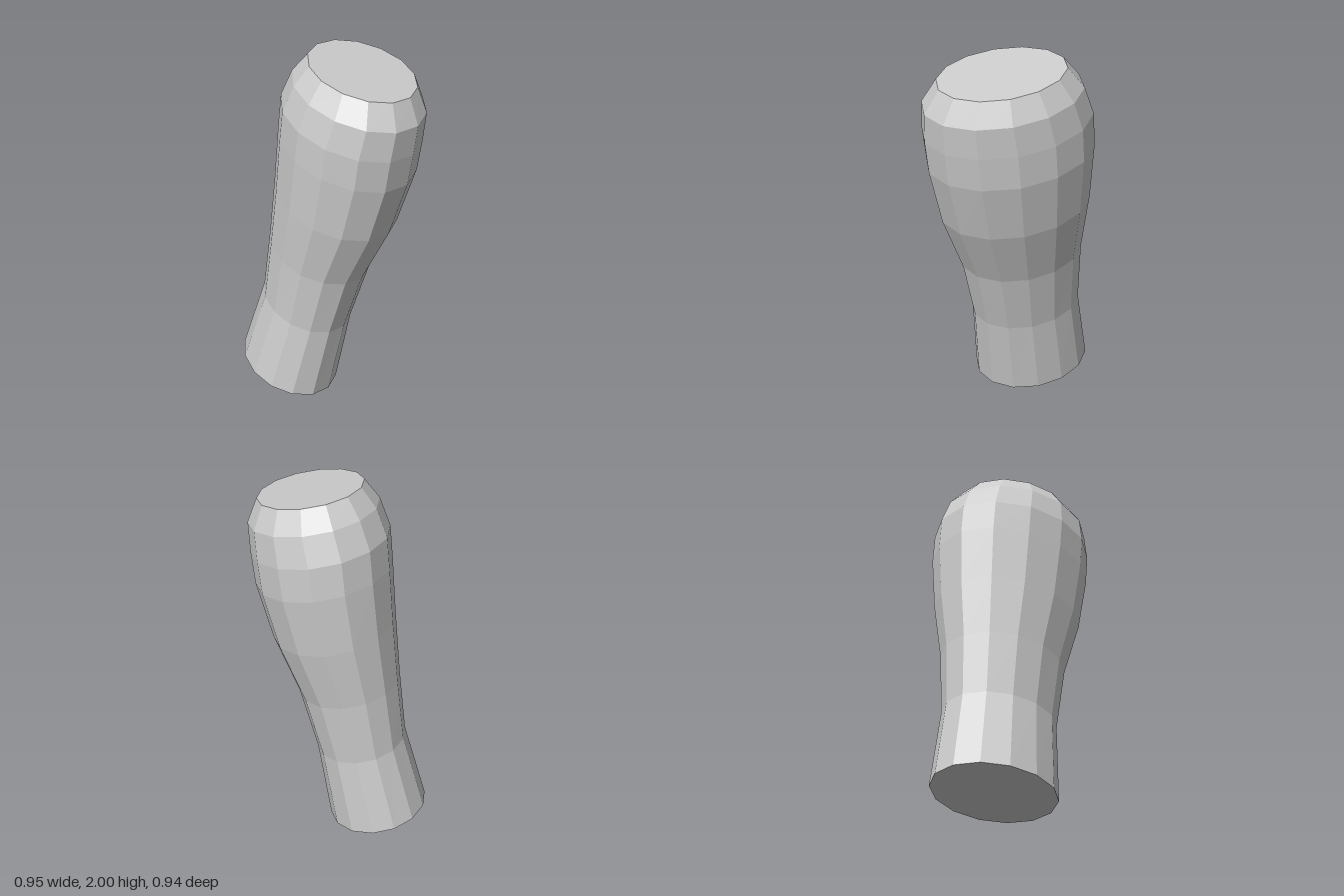
import * as THREE from 'three';

const SIDES = 14;

// Cross-sections from bottom to top: centre x, y, z, then radius in x and z
const RINGS = [
  [-0.21, 0.07, -0.15, 0.27, 0.328],
  [-0.115, 0.5, -0.098, 0.245, 0.305],
  [-0.05, 0.85, -0.06, 0.275, 0.338],
  [0.03, 1.18, -0.012, 0.33, 0.408],
  [0.083, 1.495, 0.02, 0.363, 0.446],
  [0.1, 1.67, 0.037, 0.366, 0.449],
  [0.132, 1.822, 0.065, 0.343, 0.42],
  [0.147, 1.937, 0.072, 0.278, 0.336],
];

// Low-poly tapered limb: leaning oval rings joined by quads, closed with flat caps
function limbGeometry() {
  const points = [];
  const faces = [];
  const last = RINGS.length - 1;
  RINGS.forEach(([cx, cy, cz, rx, rz], j) => {
    // each ring is tipped down towards +x and +z, square to the leaning axis
    const slopeX = THREE.MathUtils.lerp(0.21, 0.165, j / last);
    const slopeZ = 0.128;
    for (let i = 0; i < SIDES; i++) {
      const t = (i / SIDES) * Math.PI * 2;
      const dx = rx * Math.cos(t);
      const dz = rz * Math.sin(t);
      points.push(cx + dx, cy - slopeX * dx - slopeZ * dz, cz + dz);
    }
  });
  // cap centres
  const bottom = points.length / 3;
  const top = bottom + 1;
  points.push(...RINGS[0].slice(0, 3), ...RINGS[last].slice(0, 3));

  for (let i = 0; i < SIDES; i++) {
    const n = (i + 1) % SIDES;
    for (let j = 0; j < last; j++) {
      const a = j * SIDES + i;
      const b = j * SIDES + n;
      faces.push(a, a + SIDES, b, b, a + SIDES, b + SIDES);
    }
    faces.push(bottom, i, n);
    faces.push(top, last * SIDES + n, last * SIDES + i);
  }

  const indexed = new THREE.BufferGeometry();
  indexed.setAttribute('position', new THREE.Float32BufferAttribute(points, 3));
  indexed.setIndex(faces);
  const geometry = indexed.toNonIndexed();
  geometry.computeVertexNormals();
  return geometry;
}

export function createModel() {
  const group = new THREE.Group();
  const material = new THREE.MeshStandardMaterial({ color: 0xcccccc, flatShading: true });
  const limb = new THREE.Mesh(limbGeometry(), material);
  limb.name = 'limbSegment';
  group.add(limb);
  return group;
}
